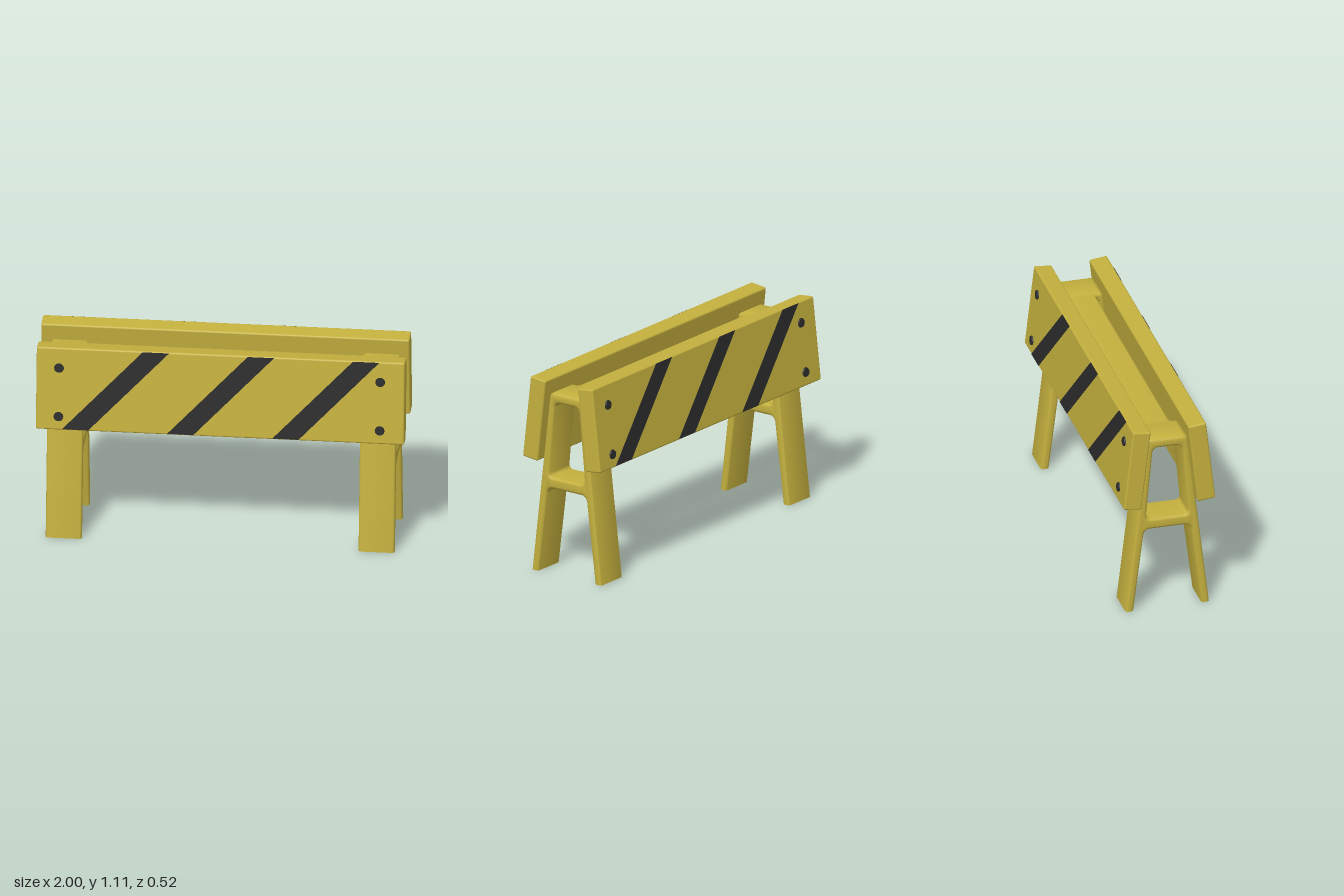
import * as THREE from 'three';
import { toCreasedNormals } from 'three/addons/utils/BufferGeometryUtils.js';
import { RoundedBoxGeometry } from 'three/addons/geometries/RoundedBoxGeometry.js';

const TILT = 0.114;         // lean of the boards
const LEG_SLOPE = 0.12;     // spread of the legs

// Traces a closed outline of [x, y, cornerRadius] points into a Shape or Path.
function roundedOutline(target, points) {
  const n = points.length;
  points.forEach(([x, y, r = 0], i) => {
    const corner = new THREE.Vector2(x, y);
    const toward = (p) => new THREE.Vector2(p[0], p[1]).sub(corner).normalize().multiplyScalar(r).add(corner);
    const a = toward(points[(i + n - 1) % n]);
    const b = toward(points[(i + 1) % n]);
    if (i === 0) target.moveTo(a.x, a.y);
    else target.lineTo(a.x, a.y);
    if (r > 0) target.quadraticCurveTo(x, y, b.x, b.y);
  });
  target.closePath();
  return target;
}

// Extrudes a shape with rounded edges, centred on its depth.
function softExtrude(shape, depth, bevel) {
  const core = depth - 2 * bevel;
  return new THREE.ExtrudeGeometry(shape, {
    depth: core, curveSegments: 6, bevelEnabled: true, bevelSegments: 4,
    bevelSize: bevel, bevelThickness: bevel, bevelOffset: -bevel,
  }).translate(0, 0, -core / 2);
}

// A-shaped frame: splayed legs, crossbar and top bar in one rounded piece.
function frameGeometry() {
  const half = [[0.24, -0.05], [0.113, 1.03, 0.028]];
  const inner = [[-0.195, -0.05], [-0.128, 0.487, 0.035], [0.128, 0.487, 0.035], [0.195, -0.05]];
  const shape = roundedOutline(new THREE.Shape(), [
    ...half, [-0.113, 1.03, 0.028], [-0.24, -0.05], ...inner,
  ]);
  shape.holes.push(roundedOutline(new THREE.Path(), [
    [-0.119, 0.55, 0.03], [-0.079, 0.976, 0.03], [0.079, 0.976, 0.03], [0.119, 0.55, 0.03],
  ]));
  const geo = softExtrude(shape, 0.195, 0.016);
  // Cut the feet flat, sliding points along the legs.
  const pos = geo.attributes.position;
  for (let i = 0; i < pos.count; i++) {
    const lift = 0.004 - pos.getY(i);
    if (lift > 0) {
      pos.setX(i, pos.getX(i) - Math.sign(pos.getX(i)) * LEG_SLOPE * lift);
      pos.setY(i, 0.004);
    }
  }
  return toCreasedNormals(geo.rotateY(-Math.PI / 2), 0.6);
}

// Long rail joining the frames, flared with fillets at each end.
function railGeometry() {
  const end = (s) => [
    [s * 0.745, -s * 0.073, 0.025], [s * 0.745, -s * 0.105], [s * 0.8, -s * 0.105],
    [s * 0.8, s * 0.105], [s * 0.745, s * 0.105], [s * 0.745, s * 0.073, 0.025],
  ];
  const shape = roundedOutline(new THREE.Shape(), [...end(1), ...end(-1)]);
  return toCreasedNormals(softExtrude(shape, 0.048, 0.015).rotateX(-Math.PI / 2), 0.6);
}

// Slanted warning stripe as a thin plate.
function stripeGeometry() {
  const h = 0.228, w = 0.142, shear = 0.43;
  const shape = new THREE.Shape([
    new THREE.Vector2(0, -h), new THREE.Vector2(w, -h),
    new THREE.Vector2(w + shear, h), new THREE.Vector2(shear, h),
  ]);
  return new THREE.ExtrudeGeometry(shape, { depth: 0.003, bevelEnabled: false });
}

export function createModel() {
  const yellow = new THREE.MeshStandardMaterial({ color: 0xc4b03e });
  yellow.name = 'yellow paint';
  const black = new THREE.MeshStandardMaterial({ color: 0x2b2b2b });
  black.name = 'black paint';

  const model = new THREE.Group();
  model.name = 'barrier';
  const add = (parent, name, geometry, material, x = 0, y = 0, z = 0) => {
    const mesh = new THREE.Mesh(geometry, material);
    mesh.name = name;
    mesh.position.set(x, y, z);
    parent.add(mesh);
    return mesh;
  };

  // End frames and the rail between them
  const frame = frameGeometry();
  add(model, 'leftFrame', frame, yellow, 0.847, 0, 0.003);
  add(model, 'rightFrame', frame, yellow, -0.842, 0, 0.003);
  add(model, 'topRail', railGeometry(), yellow, 0.002, 1.003, -0.002);

  // Striped boards, the back one turned half way round
  const boardGeo = new RoundedBoxGeometry(1.988, 0.466, 0.1, 3, 0.01);
  const stripeGeo = stripeGeometry();
  const boltGeo = new THREE.CylinderGeometry(0.024, 0.028, 0.012, 12).rotateX(Math.PI / 2);
  for (const side of ['front', 'back']) {
    const turned = new THREE.Group();
    turned.name = side + 'Panel';
    if (side === 'back') turned.rotation.y = Math.PI;
    model.add(turned);

    const panel = new THREE.Group();
    panel.name = side + 'PanelTilt';
    panel.position.set(0.004, 0.8825, 0.181);
    panel.rotation.x = -TILT;
    turned.add(panel);

    add(panel, side + 'Board', boardGeo, yellow);
    for (const x of [-0.852, -0.285, 0.283]) add(panel, 'stripe', stripeGeo, black, x, 0, 0.0485);
    for (const x of [-0.872, 0.862]) {
      for (const y of [-0.157, 0.118]) add(panel, 'bolt', boltGeo, black, x, y, 0.052);
    }
  }
  return model;
}
